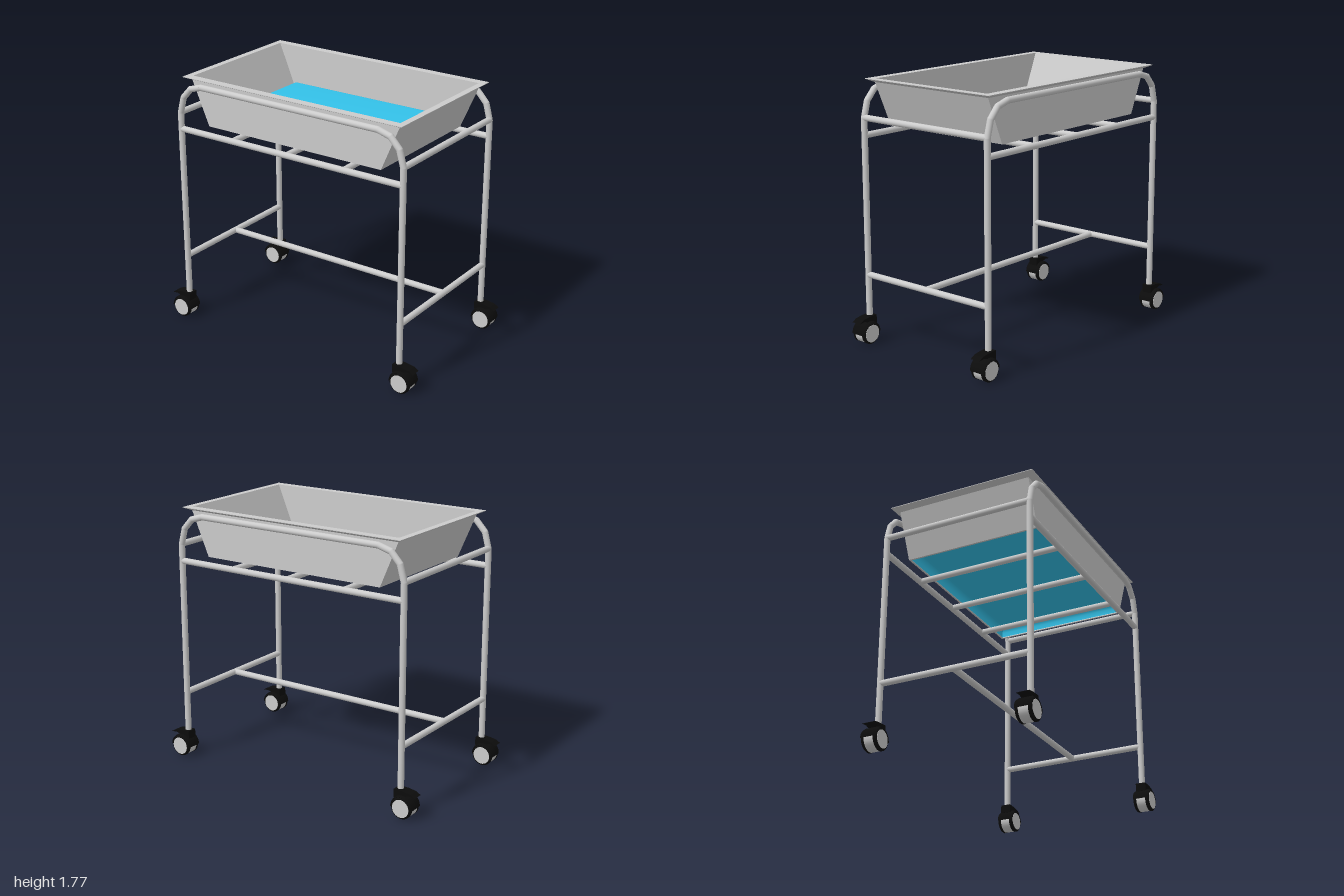
import * as THREE from 'three';
import { toCreasedNormals } from 'three/addons/utils/BufferGeometryUtils.js';

const grey = new THREE.MeshStandardMaterial({ color: 0xcccccc });
const black = new THREE.MeshStandardMaterial({ color: 0x0c0c0c, side: THREE.DoubleSide });
const blue = new THREE.MeshStandardMaterial({ color: 0x34c4ec, side: THREE.DoubleSide });
const R = 0.021, LEG_X = 0.875, LEG_Z = 0.525;

function add(parent, name, geometry, material) {
  const mesh = new THREE.Mesh(geometry, material);
  mesh.name = name;
  parent.add(mesh);
  return mesh;
}

// Straight round bar between two points
function bar(parent, name, a, b) {
  const p = new THREE.Vector3(...a), q = new THREE.Vector3(...b);
  const dir = q.clone().sub(p);
  const mesh = add(parent, name, new THREE.CylinderGeometry(R, R, dir.length(), 16), grey);
  mesh.position.copy(p).add(q).multiplyScalar(0.5);
  mesh.quaternion.setFromUnitVectors(new THREE.Vector3(0, 1, 0), dir.normalize());
}

// Skin over rectangular rings [halfX, y, halfZ], smoothed below the crease angle
function loft(rings, crease) {
  const positions = [], index = [];
  for (const [x, y, z] of rings) positions.push(x, y, z, x, y, -z, -x, y, -z, -x, y, z);
  for (let i = 0; i < rings.length - 1; i++) {
    for (let j = 0; j < 4; j++) {
      const a = i * 4 + j, b = i * 4 + (j + 1) % 4;
      index.push(a, b, b + 4, a, b + 4, a + 4);
    }
  }
  const g = new THREE.BufferGeometry();
  g.setAttribute('position', new THREE.Float32BufferAttribute(positions, 3));
  g.setIndex(index);
  return toCreasedNormals(g, crease);
}

// Profile [radius, z] turned about the z axis
function turn(profile, start, length) {
  const points = profile.map(([r, z]) => new THREE.Vector2(r, z));
  const g = new THREE.LatheGeometry(points, 32, start, length).rotateX(Math.PI / 2);
  return toCreasedNormals(g, 0.5);
}

// Castor with its brake pedal towards +x; origin on the floor below the leg
function makeCastor() {
  const castor = new THREE.Group();
  castor.name = 'castor';
  const wheel = new THREE.Group();
  wheel.name = 'wheel';
  wheel.position.set(0.033, 0.073, 0);
  castor.add(wheel);
  add(wheel, 'wheelCore', new THREE.CylinderGeometry(0.071, 0.071, 0.066, 32).rotateX(Math.PI / 2), grey);
  for (const s of [-1, 1]) {
    const tyre = turn([[0, 0.033], [0.073, 0.033], [0.073, 0.047], [0.065, 0.056], [0, 0.056]], 0, Math.PI * 2);
    add(wheel, 'tyre', tyre, black).rotation.y = s > 0 ? Math.PI : 0;
    const cap = new THREE.CylinderGeometry(0.06, 0.06, 0.004, 32).rotateX(Math.PI / 2);
    add(wheel, 'hubCap', cap, grey).position.z = s * 0.056;
  }
  const fender = [
    [0.075, -0.056], [0.081, -0.04], [0.081, 0.04], [0.075, 0.056],
    [0.073, 0.054], [0.076, 0.04], [0.076, -0.04], [0.073, -0.054], [0.075, -0.056],
  ];
  add(wheel, 'fender', turn(fender, Math.PI / 2, Math.PI), black);

  const pedal = new THREE.Shape([
    [-0.03, 0.187], [0.04, 0.184], [0.09, 0.176], [0.125, 0.157],
    [0.08, 0.161], [0.035, 0.147], [-0.03, 0.13],
  ].map(([x, y]) => new THREE.Vector2(x, y)));
  const pedalGeometry = new THREE.ExtrudeGeometry(pedal, { depth: 0.07, bevelEnabled: false });
  add(castor, 'brakePedal', pedalGeometry.translate(0, 0, -0.035), black);
  const stem = add(castor, 'stem', new THREE.CylinderGeometry(0.03, 0.03, 0.057, 16), black);
  stem.position.y = 0.159;
  return castor;
}

export function createModel() {
  const model = new THREE.Group();
  model.name = 'bassinetTrolley';

  // Two bent hoops, front and back
  const half = [[LEG_X, 0.18], [LEG_X, 1.515], [0.845, 1.625], [0.78, 1.695], [0.69, 1.721]];
  const path = [...half, ...half.map(([x, y]) => [-x, y]).reverse()];
  for (const z of [-LEG_Z, LEG_Z]) {
    const hoop = new THREE.Group();
    hoop.name = z > 0 ? 'frontHoop' : 'backHoop';
    model.add(hoop);
    for (let i = 0; i < path.length - 1; i++) {
      bar(hoop, 'hoopTube', [...path[i], z], [...path[i + 1], z]);
      if (i > 0) add(hoop, 'hoopBend', new THREE.SphereGeometry(R, 16, 10), grey).position.set(...path[i], z);
    }
    bar(model, 'upperRail', [-LEG_X, 1.402, z], [LEG_X, 1.402, z]);
  }

  // End bars, slats under the basin and the low stretcher
  for (const x of [-LEG_X, LEG_X]) {
    for (const y of [1.518, 0.466]) bar(model, 'endBar', [x, y, -LEG_Z], [x, y, LEG_Z]);
  }
  for (const x of [-0.44, 0, 0.44]) bar(model, 'slat', [x, 1.402, -LEG_Z], [x, 1.402, LEG_Z]);
  bar(model, 'stretcher', [-LEG_X, 0.466, 0], [LEG_X, 0.466, 0]);

  // Basin with sloping ends, flared rim and open bottom
  const basin = add(model, 'basin', loft([
    [0.665, 1.444, 0.465], [0.678, 1.444, 0.478], [0.808, 1.745, 0.48], [0.85, 1.766, 0.527],
    [0.85, 1.77, 0.527], [0.806, 1.77, 0.47], [0.665, 1.444, 0.465],
  ], 0.2), grey);
  basin.position.x = 0.006;

  // Mattress shell with rounded edges and open underside
  add(model, 'mattress', loft([
    [0.664, 1.446, 0.463], [0.664, 1.48, 0.463], [0.655, 1.502, 0.454],
    [0.642, 1.514, 0.441], [0.622, 1.519, 0.421], [0, 1.519, 0],
  ], 0.7), blue);

  // Castors, pedals pointing outwards
  for (const x of [-1, 1]) {
    for (const z of [-1, 1]) {
      const castor = makeCastor();
      castor.position.set(x * LEG_X, 0, z * LEG_Z);
      if (x < 0) castor.rotation.y = Math.PI;
      model.add(castor);
    }
  }
  return model;
}
